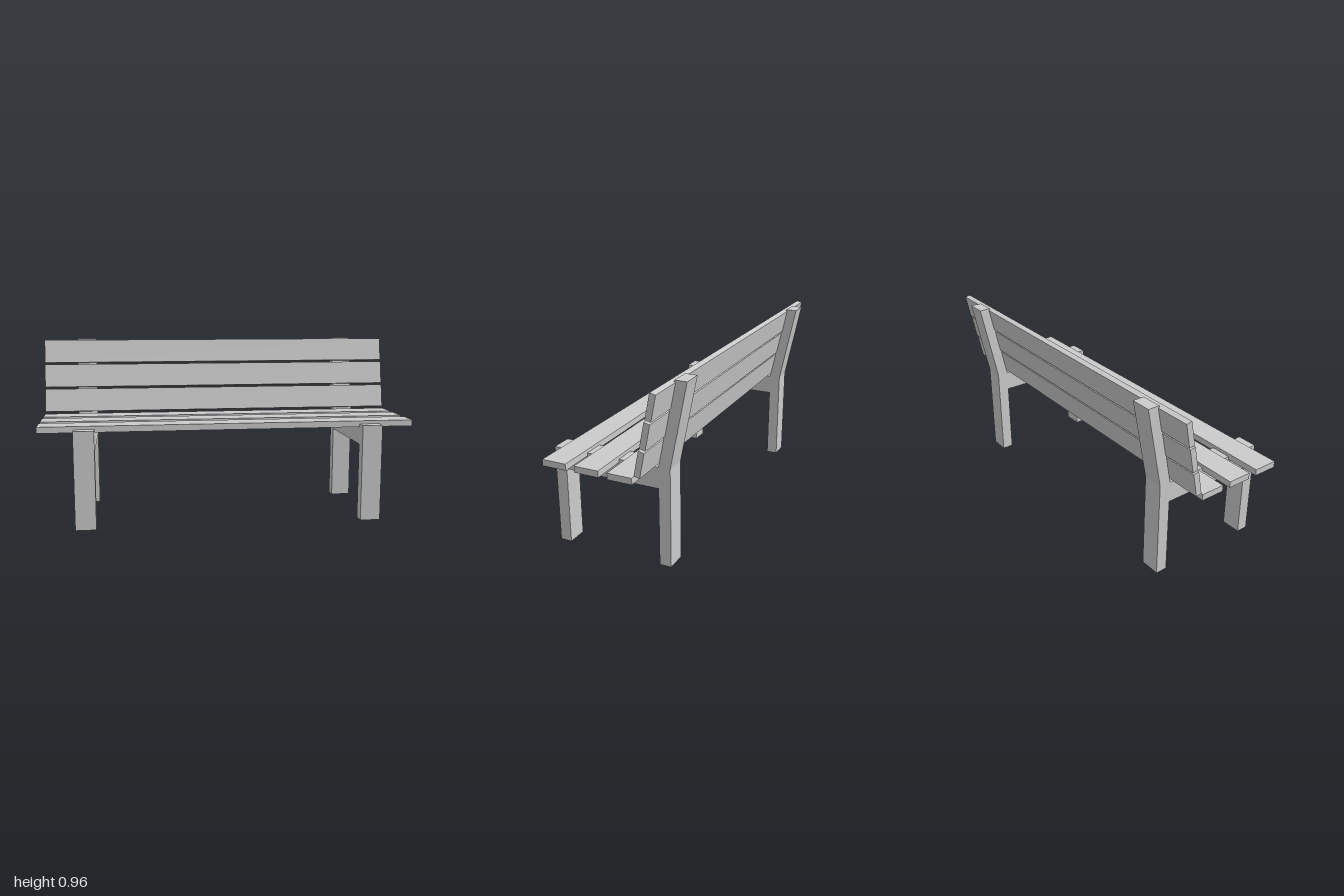
import * as THREE from 'three';

const material = new THREE.MeshStandardMaterial({ color: 0xcccccc, flatShading: true });

// Side frame outline as [z, y]: front leg, seat rail, rear leg and raked back post
const FRAME = [
  [0.363, 0], [0.363, 0.519], [-0.212, 0.519], [-0.3, 0.956], [-0.362, 0.956],
  [-0.274, 0.519], [-0.274, 0], [-0.212, 0], [-0.212, 0.409], [0.301, 0.409], [0.301, 0],
];
const FRAME_WIDTH = 0.108;
const RAKE = Math.atan2(0.088, 0.437);

function add(parent, name, geometry, x, y, z) {
  const mesh = new THREE.Mesh(geometry, material);
  mesh.name = name;
  mesh.position.set(x, y, z);
  parent.add(mesh);
  return mesh;
}

export function createModel() {
  const bench = new THREE.Group();
  bench.name = 'bench';

  // Two side frames, extruded across x
  const shape = new THREE.Shape(FRAME.map(([z, y]) => new THREE.Vector2(z, y)));
  const frame = new THREE.ExtrudeGeometry(shape, { depth: FRAME_WIDTH, bevelEnabled: false });
  frame.translate(0, 0, -FRAME_WIDTH / 2).rotateY(-Math.PI / 2);
  add(bench, 'leftFrame', frame, 0.76, 0, 0);
  add(bench, 'rightFrame', frame, -0.76, 0, 0);

  // Seat slats, let slightly into the rails
  const seatSlat = new THREE.BoxGeometry(2, 0.033, 0.129);
  for (let i = 0; i < 3; i++) {
    add(bench, `seatSlat${i + 1}`, seatSlat, 0, 0.5195, 0.239 - i * 0.176);
  }

  // Back slats, stepping up the front of the raked posts
  const backSlat = new THREE.BoxGeometry(2, 0.13, 0.031);
  for (let i = 0; i < 3; i++) {
    const slat = add(bench, `backSlat${i + 1}`, backSlat, 0, 0.608 + i * 0.1385, -0.2155 - i * 0.031);
    slat.rotation.x = -RAKE;
  }

  return bench;
}
